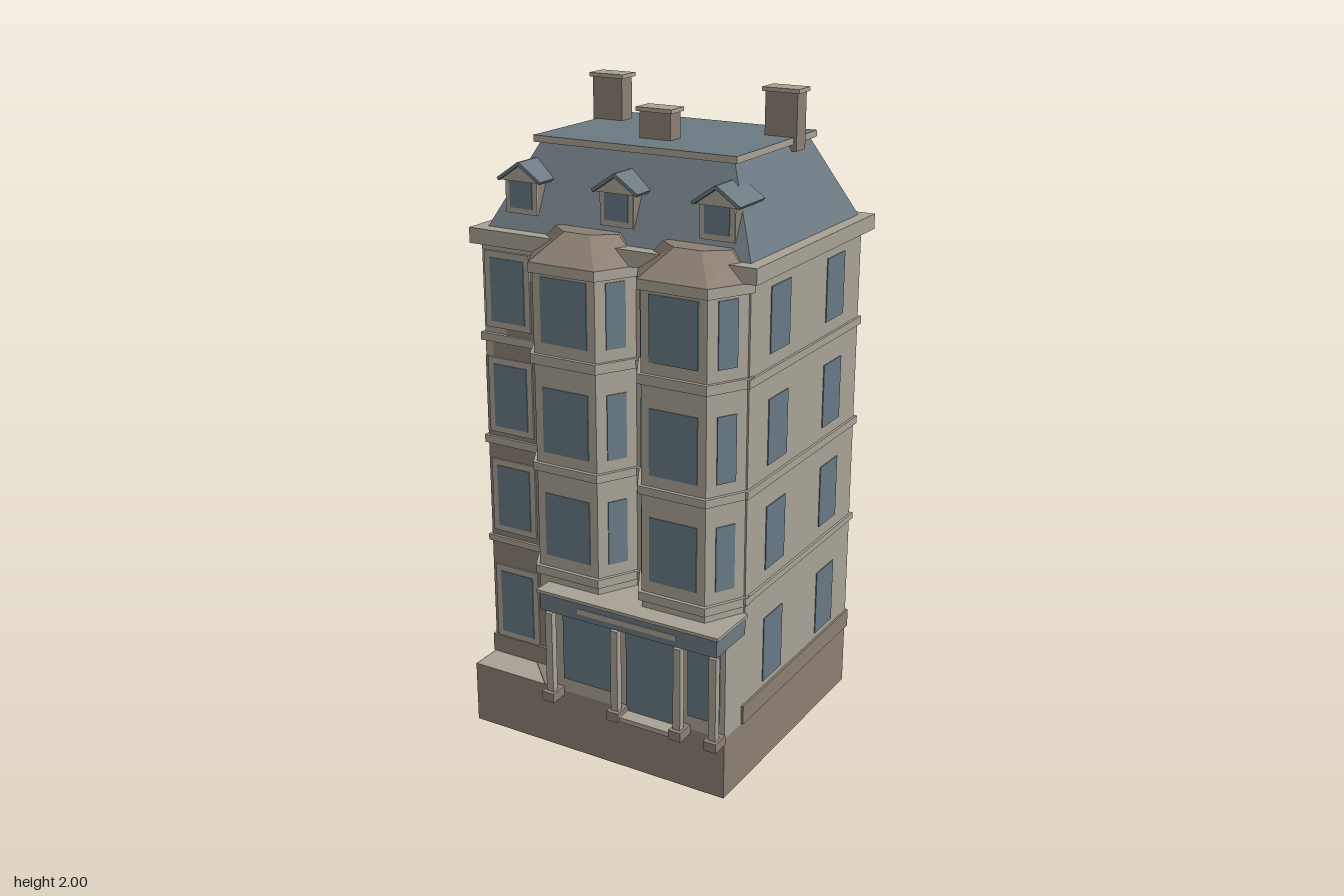
import * as THREE from 'three';

const mat = (name, color, side = THREE.FrontSide) => {
  const m = new THREE.MeshStandardMaterial({ color, side });
  m.name = name;
  return m;
};

export function createModel() {
  const stone = mat('stone', 0xaaa497), brown = mat('brownStone', 0x8d8174, THREE.DoubleSide);
  const slate = mat('slate', 0x6e7b83), glass = mat('glass', 0x687a85);
  const root = new THREE.Group();
  root.name = 'townhouse';

  const add = (name, geo, material, parent = root) => {
    const m = new THREE.Mesh(geo, material);
    m.name = name;
    parent.add(m);
    return m;
  };
  const box = (name, material, x0, x1, y0, y1, z0, z1, parent) => {
    const m = add(name, new THREE.BoxGeometry(x1 - x0, y1 - y0, z1 - z0), material, parent);
    m.position.set((x0 + x1) / 2, (y0 + y1) / 2, (z0 + z1) / 2);
    return m;
  };
  // Joins two [x, z] outlines, listed front left, front right, back right, back left
  const loft = (p, y0, q, y1, caps = true) => {
    const v = [], n = p.length;
    const P = i => [p[i % n][0], y0, p[i % n][1]], Q = i => [q[i % n][0], y1, q[i % n][1]];
    for (let i = 0; i < n; i++) {
      v.push(...P(i), ...P(i + 1), ...Q(i + 1), ...P(i), ...Q(i + 1), ...Q(i));
      if (caps && i > 0 && i < n - 1) v.push(...Q(0), ...Q(i), ...Q(i + 1), ...P(0), ...P(i + 1), ...P(i));
    }
    const g = new THREE.BufferGeometry();
    g.setAttribute('position', new THREE.Float32BufferAttribute(v, 3));
    g.computeVertexNormals();
    return g;
  };
  const rect = (x0, x1, z0, z1) => [[x0, z1], [x1, z1], [x1, z0], [x0, z0]];
  const rows = [[0.28, 0.49], [0.65, 0.85], [0.98, 1.18], [1.315, 1.51]];

  // Hollow base, deck and plinth
  const baseRect = rect(-0.455, 0.445, -0.435, 0.4);
  add('base', loft(baseRect, 0, baseRect, 0.2, false), brown);
  box('deck', stone, -0.454, 0.444, 0.195, 0.2, -0.434, 0.399);
  box('plinth', brown, -0.46, 0.452, 0.2, 0.26, -0.442, 0.297);
  add('deckStain', loft([[-0.19, 0.4], [-0.15, 0.4], [-0.15, 0.3], [-0.29, 0.3]], 0.2,
    [[-0.19, 0.4], [-0.15, 0.4], [-0.15, 0.3], [-0.29, 0.3]], 0.203), brown);

  // Main walls, string courses and cornice
  box('walls', stone, -0.455, 0.445, 0.2, 1.56, -0.435, 0.285);
  for (const [y0, y1] of [[0.59, 0.61], [0.92, 0.945], [1.25, 1.275]])
    box('stringCourse', stone, -0.463, 0.453, y0, y1, -0.445, 0.297);
  box('cornice', stone, -0.48, 0.475, 1.55, 1.597, -0.465, 0.312);

  // Darker facing beside the bays
  box('darkFacing', brown, -0.455, -0.26, 0.26, 1.2, 0.285, 0.288);
  box('darkFacing', brown, -0.425, -0.26, 1.2, 1.25, 0.285, 0.288);
  box('darkFacing', brown, -0.375, -0.26, 1.275, 1.31, 0.285, 0.288);
  box('darkFacing', brown, -0.285, -0.26, 1.31, 1.45, 0.285, 0.288);

  // Windows on the flat walls
  for (const [y0, y1] of rows) {
    box('windowFrame', stone, -0.443, -0.283, y0 - 0.02, y1 + 0.02, 0.285, 0.293);
    box('frontWindow', glass, -0.422, -0.302, y0, y1, 0.29, 0.296);
    for (const z of [0.105, -0.257]) {
      box('sideWindow', glass, 0.443, 0.448, y0, y1, z - 0.06, z + 0.06);
      box('sideWindow', glass, -0.458, -0.453, y0, y1, z - 0.06, z + 0.06);
    }
    for (const x of [-0.285, -0.005, 0.275])
      box('backWindow', glass, x - 0.06, x + 0.06, y0, y1, -0.438, -0.433);
  }

  // Canted bays with bands, windows and hipped roofs
  const bayOutline = o => [[-0.105 - o / 2, 0.4 + o], [0.105 + o / 2, 0.4 + o], [0.17 + o, 0.285], [0.17 + o, 0.27],
    [-0.17 - o, 0.27], [-0.17 - o, 0.285]];
  for (const x of [-0.09, 0.27]) {
    const bay = new THREE.Group();
    bay.name = 'bay';
    bay.position.x = x;
    root.add(bay);
    add('bayWalls', loft(bayOutline(0), 0.49, bayOutline(0), 1.55), stone, bay);
    for (const [y0, y1] of [[0.585, 0.612], [0.92, 0.945], [1.25, 1.28], [1.52, 1.55]])
      add('bayBand', loft(bayOutline(0.012), y0, bayOutline(0.012), y1), stone, bay);
    const roofTop = [[-0.043, 0.325], [0.043, 0.325], [0.108, 0.275], [0.1, 0.25], [-0.1, 0.25], [-0.108, 0.275]];
    add('bayRoof', loft(bayOutline(0.01), 1.55, roofTop, 1.628), brown, bay);
    for (const [y0, y1] of rows.slice(1)) {
      box('bayWindow', glass, -0.078, 0.078, y0, y1, 0.398, 0.403, bay);
      for (const s of [-1, 1]) {
        const w = add('baySideWindow', new THREE.BoxGeometry(0.063, y1 - y0, 0.006), glass, bay);
        w.position.set(s * 0.1375, (y0 + y1) / 2, 0.3425);
        w.rotation.y = s * Math.atan2(0.115, 0.065);
      }
    }
  }

  // Ground floor shop front with canopy, posts and step
  box('shopWalls', stone, -0.145, 0.445, 0.2, 0.5, 0.28, 0.399);
  box('shopWindow', glass, -0.115, 0.065, 0.245, 0.47, 0.397, 0.403);
  box('shopDoor', glass, 0.11, 0.3, 0.2, 0.47, 0.397, 0.403);
  box('shopWindow', glass, 0.322, 0.428, 0.245, 0.47, 0.397, 0.403);
  box('canopy', slate, -0.158, 0.447, 0.493, 0.55, 0.285, 0.458);
  box('canopyTop', stone, -0.165, 0.455, 0.55, 0.56, 0.285, 0.465);
  box('signStrip', stone, -0.022, 0.315, 0.513, 0.53, 0.456, 0.461);
  for (const x of [-0.137, 0.095, 0.31, 0.428]) {
    box('post', stone, x - 0.012, x + 0.012, 0.215, 0.48, 0.424, 0.447);
    box('postFoot', brown, x - 0.021, x + 0.021, 0.185, 0.215, 0.4, 0.46);
  }
  box('step', stone, 0.09, 0.32, 0.185, 0.2, 0.4, 0.45);

  // Mansard roof with a stone-edged flat top
  add('mansard', loft(rect(-0.44, 0.435, -0.43, 0.27), 1.597, rect(-0.325, 0.32, -0.313, 0.155), 1.84), slate);
  add('roofEdge', new THREE.BoxGeometry(0.675, 0.02, 0.5), [stone, stone, slate, stone, stone, stone])
    .position.set(-0.003, 1.85, -0.08);

  // Chimneys
  for (const [x, z, hx, hz, y0, y1] of [[-0.302, -0.202, 0.052, 0.029, 1.82, 2],
    [0.293, -0.202, 0.052, 0.029, 1.82, 2], [0.004, 0.026, 0.052, 0.028, 1.86, 1.95]]) {
    box('chimney', brown, x - hx, x + hx, y0, y1 - 0.012, z - hz, z + hz);
    box('chimneyCap', stone, x - hx - 0.008, x + hx + 0.008, y1 - 0.012, y1, z - hz - 0.008, z + hz + 0.008);
  }

  // Dormers with gabled slate roofs
  const gable = (w, y0, y1, depth) => {
    const s = new THREE.Shape([[-w, y0], [w, y0], [0, y1]].map(p => new THREE.Vector2(...p)));
    return new THREE.ExtrudeGeometry(s, { depth, bevelEnabled: false });
  };
  for (const x of [-0.327, 0, 0.323]) {
    const d = new THREE.Group();
    d.name = 'dormer';
    d.position.x = x;
    root.add(d);
    box('dormerCheeks', brown, -0.053, 0.053, 1.645, 1.745, 0.15, 0.252, d);
    box('dormerFace', stone, -0.055, 0.055, 1.643, 1.745, 0.252, 0.258, d);
    box('dormerWindow', glass, -0.039, 0.039, 1.66, 1.74, 0.256, 0.261, d);
    add('dormerGable', gable(0.066, 1.74, 1.785, 0.1), stone, d).position.z = 0.166;
    // Two sloping roof plates
    for (const s of [-1, 1]) {
      const p = add('dormerRoof', new THREE.BoxGeometry(0.09, 0.01, 0.145), slate, d);
      p.position.set(s * 0.037, 1.767, 0.1975);
      p.rotation.z = -s * Math.atan2(0.05, 0.073);
    }
  }
  return root;
}
